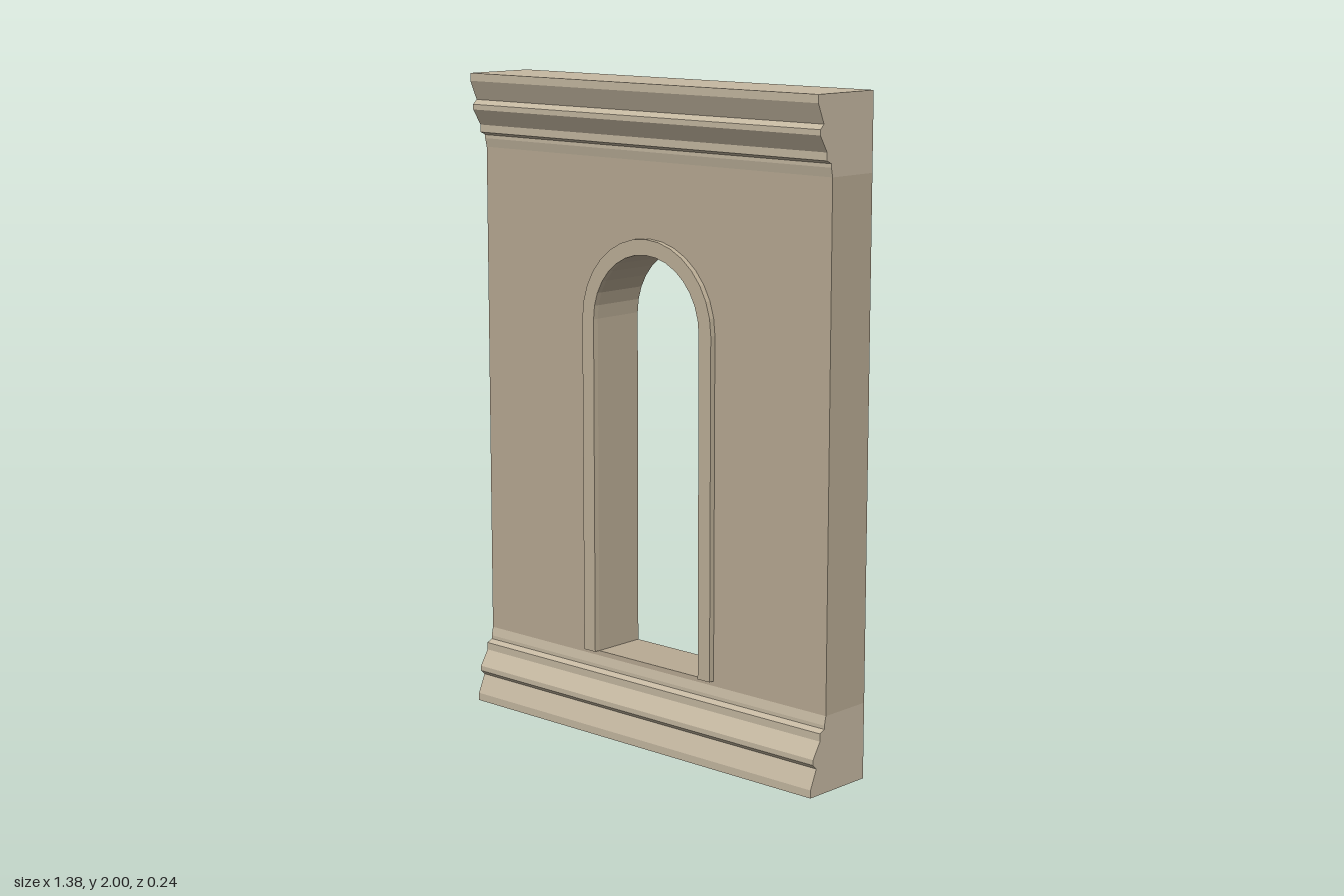
import * as THREE from 'three';

const HALF_W = 0.69, BACK = -0.12, WALL_FRONT = 0.055;
const BAND = 0.23, HEIGHT = 2;
const SILL = 0.245, SPRING = 1.282;

// Outline of a round-headed opening of half-width r
function archPoints(r, steps = 16) {
  const pts = [new THREE.Vector2(-r, SILL), new THREE.Vector2(r, SILL)];
  for (let i = 0; i <= steps; i++) {
    const a = (Math.PI * i) / steps;
    pts.push(new THREE.Vector2(r * Math.cos(a), SPRING + r * Math.sin(a)));
  }
  return pts;
}

function extrude(shape, depth) {
  return new THREE.ExtrudeGeometry(shape, { depth, bevelEnabled: false });
}

export function createModel() {
  const group = new THREE.Group();
  const wallMat = new THREE.MeshStandardMaterial({ color: 0xb9ab94 });
  const mouldingMat = new THREE.MeshStandardMaterial({ color: 0xc6b9a2 });
  const trimMat = new THREE.MeshStandardMaterial({ color: 0xbfb199 });

  const add = (name, geometry, material) => {
    const mesh = new THREE.Mesh(geometry, material);
    mesh.name = name;
    group.add(mesh);
    return mesh;
  };

  // Wall slab between the mouldings, pierced by the window
  const wall = new THREE.Shape([
    new THREE.Vector2(-HALF_W, BAND), new THREE.Vector2(HALF_W, BAND),
    new THREE.Vector2(HALF_W, HEIGHT - BAND), new THREE.Vector2(-HALF_W, HEIGHT - BAND),
  ]);
  wall.holes.push(new THREE.Path(archPoints(0.213).reverse()));
  add('wall', extrude(wall, WALL_FRONT - BACK), wallMat).position.z = BACK;

  // Raised surround: jambs and arch, open at the sill
  const inner = archPoints(0.213).slice(1), outer = archPoints(0.26).slice(1);
  inner.push(new THREE.Vector2(-0.213, SILL));
  outer.push(new THREE.Vector2(-0.26, SILL));
  const surround = new THREE.Shape([...outer, ...inner.reverse()]);
  add('windowSurround', extrude(surround, 0.073 - WALL_FRONT), trimMat).position.z = WALL_FRONT;

  // Moulding section as [z, height from the outer edge]
  const profile = [
    [BACK, 0], [0.12, 0], [0.12, 0.024], [0.095, 0.082], [0.11, 0.096], [0.11, 0.112],
    [0.08, 0.16], [0.08, 0.183], [0.061, 0.192], [0.061, 0.203], [WALL_FRONT, BAND], [BACK, BAND],
  ];
  // The cornice mirrors the plinth
  for (const [name, place] of [['plinth', (y) => y], ['cornice', (y) => HEIGHT - y]]) {
    const shape = new THREE.Shape(profile.map(([z, y]) => new THREE.Vector2(-z, place(y))));
    const geometry = extrude(shape, 2 * HALF_W);
    geometry.rotateY(Math.PI / 2).translate(-HALF_W, 0, 0);
    add(name, geometry, mouldingMat);
  }
  return group;
}
